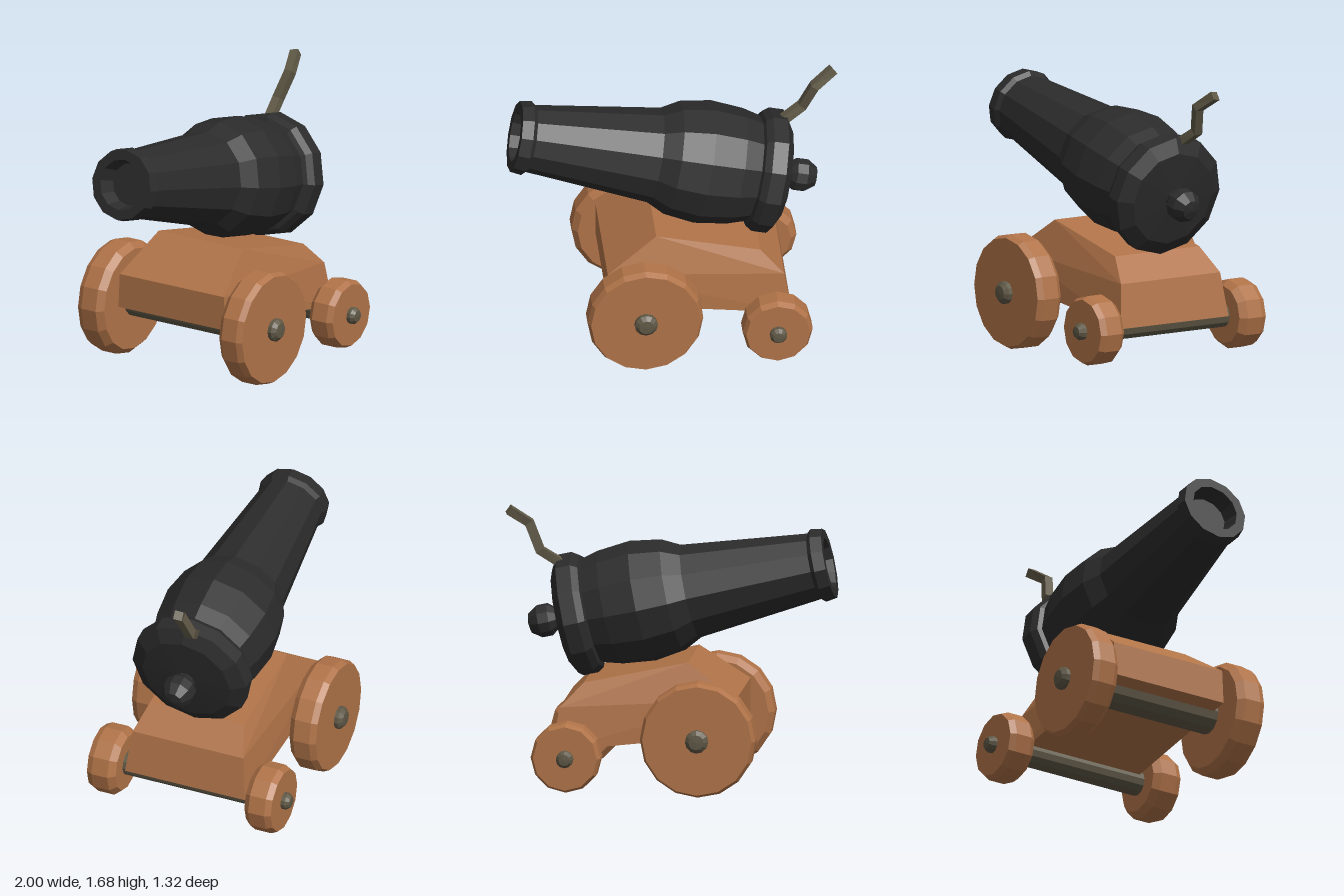
import * as THREE from 'three';
import { ConvexGeometry } from 'three/addons/geometries/ConvexGeometry.js';

const flat = (name, color) => {
  const m = new THREE.MeshStandardMaterial({ color, flatShading: true });
  m.name = name;
  return m;
};

export function createModel() {
  const iron = flat('black iron', 0x2b2b2b);
  const wood = flat('wood', 0xb07348);
  const metal = flat('dull metal', 0x5f5846);
  const model = new THREE.Group();
  model.name = 'cannon';

  const add = (parent, name, geometry, material) => {
    const mesh = new THREE.Mesh(geometry, material);
    mesh.name = name;
    parent.add(mesh);
    return mesh;
  };
  // profile entries are [radius, distance along the axis]
  const lathe = (profile, sides) =>
    new THREE.LatheGeometry(profile.map(([r, s]) => new THREE.Vector2(r, s)), sides);

  // Barrel: one turned profile from the bore, over the outside, to the breech
  const gun = new THREE.Group();
  gun.name = 'gun';
  gun.position.set(-0.955, 1.35, 0);
  gun.rotation.z = -Math.PI / 2 - 0.219;
  model.add(gun);
  add(gun, 'barrel', lathe([
    [0, 0.1], [0.13, 0.1], [0.155, 0], [0.215, 0], [0.226, 0.07], [0.204, 0.095],
    [0.288, 0.86], [0.344, 0.97], [0.373, 1.16], [0.352, 1.36], [0.322, 1.47],
    [0.35, 1.48], [0.376, 1.52], [0.376, 1.61], [0.29, 1.66], [0, 1.68],
  ], 12), iron);
  add(gun, 'breechKnob', lathe([
    [0.06, 1.65], [0.065, 1.69], [0.1, 1.735], [0.1, 1.8], [0.06, 1.86], [0, 1.872],
  ], 10), iron);

  // Fuse: crooked square cord swept through four points
  const path = new THREE.CurvePath();
  const pts = [[0.66, 1.325, -0.055], [0.79, 1.41, -0.085], [0.86, 1.57, -0.045], [0.98, 1.655, -0.09]]
    .map((p) => new THREE.Vector3(...p));
  const half = 0.027;
  const pos = [];
  const index = [];
  pts.forEach((p, i) => {
    const dir = pts[Math.min(i + 1, 3)].clone().sub(pts[Math.max(i - 1, 0)]).normalize();
    const side = new THREE.Vector3(0, 0, 1).addScaledVector(dir, -dir.z).normalize();
    const up = side.clone().cross(dir);
    [[1, 1], [-1, 1], [-1, -1], [1, -1]].forEach(([a, b], k) => {
      const v = p.clone().addScaledVector(side, a * half).addScaledVector(up, b * half);
      pos.push(v.x, v.y, v.z);
      if (i < 3) {
        const c = i * 4 + k, d = i * 4 + (k + 1) % 4;
        index.push(c, c + 4, d, d, c + 4, d + 4);
      }
    });
  });
  index.push(0, 1, 2, 0, 2, 3, 12, 14, 13, 12, 15, 14);
  const cord = new THREE.BufferGeometry();
  cord.setAttribute('position', new THREE.Float32BufferAttribute(pos, 3));
  cord.setIndex(index);
  cord.computeVertexNormals();
  const fuse = add(model, 'fuse', cord, metal.clone());
  fuse.material = metal;
  metal.side = THREE.DoubleSide;

  // Carriage: wedge-shaped block, narrower at the top
  const corners = [];
  for (const [x, y, z] of [
    [-0.13, 0.78, 0.31], [0.5, 0.645, 0.31], [0.64, 0.5, 0.365],
    [0.685, 0.235, 0.395], [-0.43, 0.36, 0.395], [-0.43, 0.57, 0.385],
  ]) corners.push(new THREE.Vector3(x, y, z), new THREE.Vector3(x, y, -z));
  add(model, 'carriage', new ConvexGeometry(corners), wood);

  // Axles, each with two wheels and end caps
  for (const { name, x, y, r, sides, axle, cap } of [
    { name: 'front', x: -0.22, y: 0.352, r: 0.35, sides: 16, axle: 0.105, cap: 0.07 },
    { name: 'rear', x: 0.58, y: 0.228, r: 0.212, sides: 12, axle: 0.076, cap: 0.052 },
  ]) {
    const set = new THREE.Group();
    set.name = name + 'WheelSet';
    set.position.set(x, y, 0);
    model.add(set);
    add(set, name + 'Axle', new THREE.CylinderGeometry(axle, axle, 0.88, 12), metal)
      .rotation.x = Math.PI / 2;
    for (const s of [1, -1]) {
      const wheel = new THREE.Group();
      wheel.name = name + (s > 0 ? 'Left' : 'Right') + 'Wheel';
      wheel.rotation.x = s * Math.PI / 2;
      set.add(wheel);
      add(wheel, 'wheelDisc', lathe([
        [0, 0.425], [r - 0.035, 0.425], [r, 0.465], [r, 0.57], [r - 0.018, 0.607], [0, 0.607],
      ], sides), wood);
      add(wheel, 'axleCap', lathe([
        [cap, 0.6], [cap, 0.632], [cap * 0.65, 0.655], [0, 0.658],
      ], 12), metal);
    }
  }
  return model;
}
